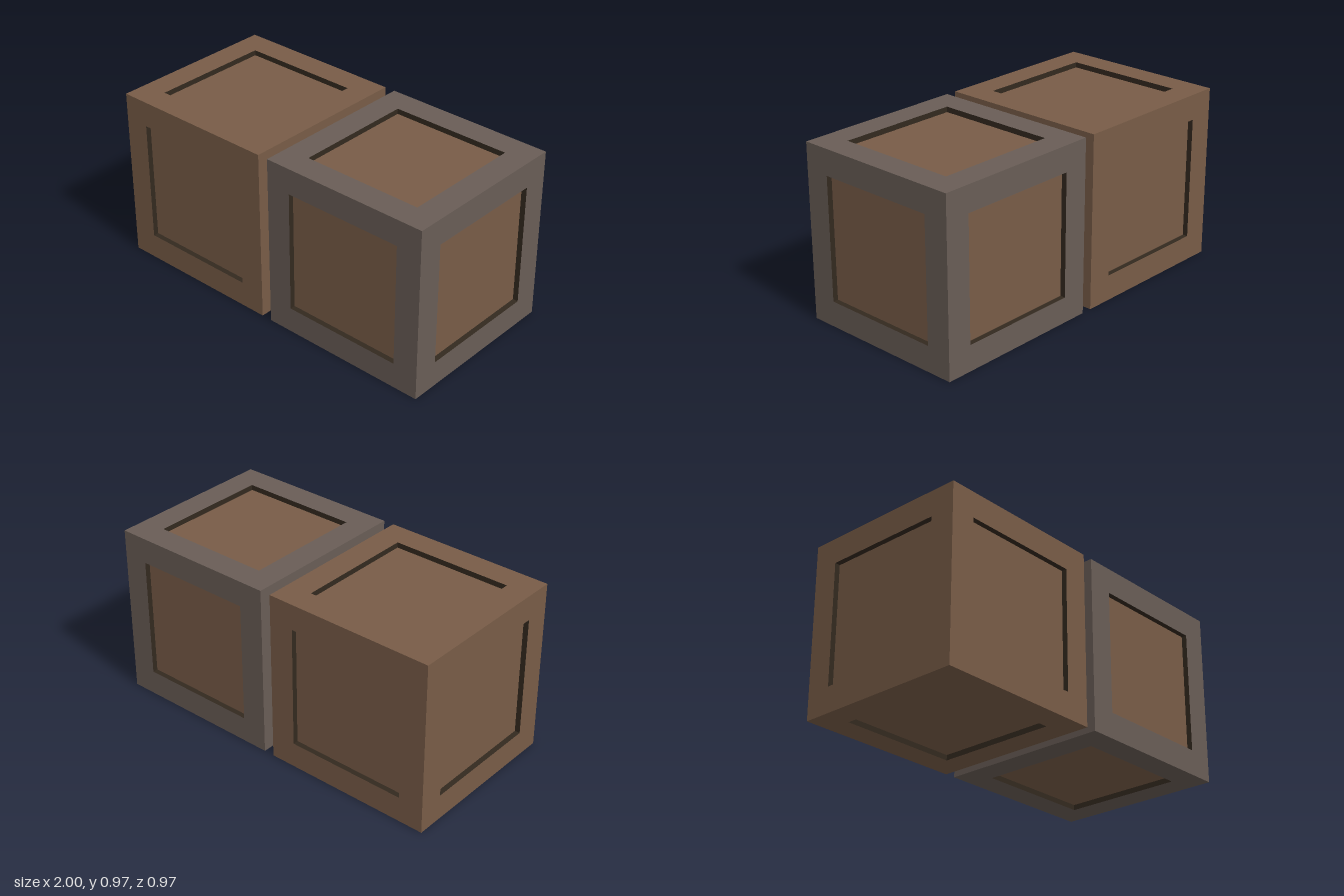
import * as THREE from 'three';
import { mergeGeometries } from 'three/addons/utils/BufferGeometryUtils.js';

const HALF = 0.485;   // half the crate edge
const INNER = 0.342;  // half the panel edge
const DEPTH = 0.03;   // how far the panels are sunk
const CENTRE_X = 0.515;

const wood = new THREE.MeshStandardMaterial({ color: 0x785c47 });
const stone = new THREE.MeshStandardMaterial({ color: 0x695d56 });
const shadowTrim = new THREE.MeshStandardMaterial({ color: 0x33291f });
wood.name = 'wood';
stone.name = 'greyFrame';
shadowTrim.name = 'darkTrim';

function square(half, PathType) {
  return new PathType([[-1, -1], [1, -1], [1, 1], [-1, 1]].map(
    ([x, y]) => new THREE.Vector2(x * half, y * half)));
}

// Square border around a sunken panel
function borderGeometry() {
  const shape = square(HALF, THREE.Shape);
  shape.holes.push(square(INNER, THREE.Path));
  return new THREE.ShapeGeometry(shape).translate(0, 0, HALF);
}

// Four walls of the recess, facing inwards
function recessGeometry() {
  const walls = [];
  for (let i = 0; i < 4; i++) {
    walls.push(new THREE.PlaneGeometry(INNER * 2, DEPTH)
      .rotateX(-Math.PI / 2)
      .translate(0, -INNER, HALF - DEPTH / 2)
      .rotateZ(i * Math.PI / 2));
  }
  return mergeGeometries(walls);
}

function panelGeometry() {
  return new THREE.PlaneGeometry(INNER * 2, INNER * 2).translate(0, 0, HALF - DEPTH);
}

// Repeats one face on all six sides of the cube
function onSixSides(face) {
  const copies = [];
  for (let i = 0; i < 4; i++) copies.push(face.clone().rotateY(i * Math.PI / 2));
  for (const s of [-1, 1]) copies.push(face.clone().rotateX(s * Math.PI / 2));
  return mergeGeometries(copies);
}

function makeCrate(name, frameMaterial, x) {
  const crate = new THREE.Group();
  crate.name = name;
  const parts = [
    ['frame', borderGeometry(), frameMaterial],
    ['recessWalls', recessGeometry(), shadowTrim],
    ['panels', panelGeometry(), wood],
  ];
  for (const [partName, geometry, material] of parts) {
    const mesh = new THREE.Mesh(onSixSides(geometry), material);
    mesh.name = partName;
    crate.add(mesh);
  }
  crate.position.set(x, HALF, 0);
  return crate;
}

export function createModel() {
  const model = new THREE.Group();
  model.name = 'cratePair';
  model.add(makeCrate('woodenCrate', wood, -CENTRE_X));
  model.add(makeCrate('greyFramedCrate', stone, CENTRE_X));
  return model;
}
